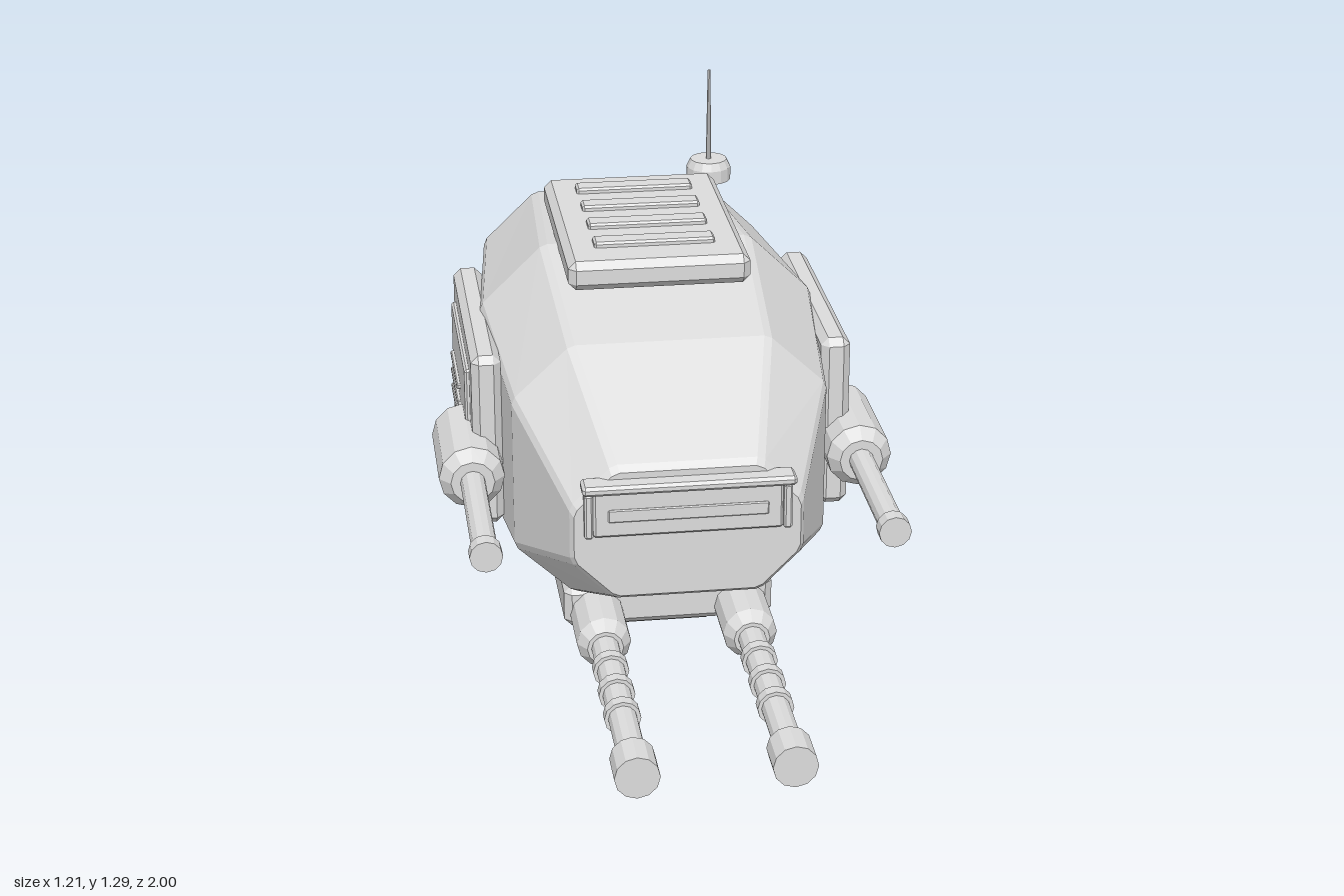
import * as THREE from 'three';
import { ConvexGeometry } from 'three/addons/geometries/ConvexGeometry.js';

const grey = new THREE.MeshStandardMaterial({ color: 0xdcdcdc, flatShading: true });
grey.name = 'hull light grey';

function add(parent, name, geometry, x = 0, y = 0, z = 0) {
  const mesh = new THREE.Mesh(geometry, grey);
  mesh.name = name;
  mesh.position.set(x, y, z);
  parent.add(mesh);
  return mesh;
}

// Box with every edge cut at 45 degrees, given by its limits
function block(parent, name, [x0, x1], [y0, y1], [z0, z1], bevel = 0.015) {
  const w = (x1 - x0) / 2, h = (y1 - y0) / 2, d = (z1 - z0) / 2;
  const b = Math.min(bevel, w * 0.6, h * 0.6, d * 0.6);
  const points = [];
  for (const sx of [-1, 1]) for (const sy of [-1, 1]) for (const sz of [-1, 1]) {
    points.push(new THREE.Vector3(sx * w, sy * (h - b), sz * (d - b)));
    points.push(new THREE.Vector3(sx * (w - b), sy * h, sz * (d - b)));
    points.push(new THREE.Vector3(sx * (w - b), sy * (h - b), sz * d));
  }
  return add(parent, name, new ConvexGeometry(points), (x0 + x1) / 2, (y0 + y1) / 2, (z0 + z1) / 2);
}

// Turned part along z; profile holds [radius, z] from back to front
function turned(parent, name, profile, x, y, sides = 12) {
  const pts = [[0, profile[0][1]], ...profile, [0, profile[profile.length - 1][1]]];
  const geometry = new THREE.LatheGeometry(pts.map(([r, z]) => new THREE.Vector2(r, z)), sides);
  geometry.rotateX(Math.PI / 2);
  return add(parent, name, geometry, x, y, 0);
}

// Octagonal section with slightly blunted corners, counter-clockwise from the front
function section({ z, w, top, bottom, cx, cy }) {
  const corners = [
    [w, bottom + cy], [w, top - cy], [w - cx, top], [cx - w, top],
    [-w, top - cy], [-w, bottom + cy], [cx - w, bottom], [w - cx, bottom],
  ];
  const blunt = 0.012, ring = [];
  corners.forEach((c, i) => {
    for (const n of [corners[(i + 7) % 8], corners[(i + 1) % 8]]) {
      const t = blunt / Math.hypot(n[0] - c[0], n[1] - c[1]);
      ring.push([c[0] + (n[0] - c[0]) * t, c[1] + (n[1] - c[1]) * t, z]);
    }
  });
  return ring;
}

function hullGeometry() {
  const rings = [
    { z: 0.495, w: 0.29, top: 0.655, bottom: 0.31, cx: 0.105, cy: 0.105 },
    { z: 0.48, w: 0.3, top: 0.672, bottom: 0.298, cx: 0.11, cy: 0.11 },
    { z: 0.16, w: 0.414, top: 0.867, bottom: 0.157, cx: 0.155, cy: 0.145 },
    { z: -0.32, w: 0.457, top: 0.967, bottom: 0.098, cx: 0.175, cy: 0.17 },
    { z: -0.91, w: 0.4, top: 0.908, bottom: 0.14, cx: 0.15, cy: 0.145 },
    { z: -0.925, w: 0.388, top: 0.896, bottom: 0.152, cx: 0.145, cy: 0.14 },
  ].map(section);
  const n = 16, last = rings.length - 1, positions = [];
  for (let i = 0; i < last; i++) for (let j = 0; j < n; j++) {
    const k = (j + 1) % n;
    const a = rings[i][j], b = rings[i][k], c = rings[i + 1][k], d = rings[i + 1][j];
    positions.push(...a, ...d, ...b, ...b, ...d, ...c);
  }
  for (let j = 1; j < n - 1; j++) {
    positions.push(...rings[0][0], ...rings[0][j], ...rings[0][j + 1]);
    positions.push(...rings[last][0], ...rings[last][j + 1], ...rings[last][j]);
  }
  const geometry = new THREE.BufferGeometry();
  geometry.setAttribute('position', new THREE.Float32BufferAttribute(positions, 3));
  geometry.computeVertexNormals();
  return geometry;
}

export function createModel() {
  const model = new THREE.Group();
  model.name = 'turretPod';

  // Hull and round rear collar
  add(model, 'hull', hullGeometry());
  turned(model, 'rearCollar', [[0.35, -1], [0.385, -0.92], [0.385, -0.9]], 0, 0.525, 16);

  // Roof hatch with four slats
  const hatch = new THREE.Group();
  hatch.name = 'roofHatch';
  model.add(hatch);
  block(hatch, 'hatchPlate', [-0.242, 0.242], [0.94, 1.02], [-0.706, -0.02], 0.02);
  for (const z of [-0.588, -0.445, -0.303, -0.16]) {
    block(hatch, 'hatchSlat', [-0.162, 0.162], [1.005, 1.035], [z - 0.029, z + 0.029], 0.006);
  }

  // Antenna
  const base = [[0, 0.97], [0.063, 0.97], [0.063, 1.008], [0.052, 1.03], [0, 1.03]];
  add(model, 'antennaBase', new THREE.LatheGeometry(base.map(([r, y]) => new THREE.Vector2(r, y)), 14), 0.242, 0, -0.787);
  add(model, 'antennaRod', new THREE.CylinderGeometry(0.004, 0.008, 0.28, 8), 0.242, 1.153, -0.787);

  // Front visor
  const visor = new THREE.Group();
  visor.name = 'visor';
  model.add(visor);
  block(visor, 'visorPanel', [-0.242, 0.242], [0.483, 0.61], [0.44, 0.508], 0.006);
  block(visor, 'visorSlit', [-0.205, 0.205], [0.525, 0.56], [0.49, 0.512], 0.003);
  block(visor, 'visorLip', [-0.272, 0.272], [0.612, 0.638], [0.472, 0.54], 0.008);
  for (const s of [-1, 1]) {
    block(visor, 'visorPost', [s * 0.254 - 0.011, s * 0.254 + 0.011], [0.483, 0.605], [0.44, 0.515], 0.005);
  }

  // Belly mount
  block(model, 'bellyMount', [-0.282, 0.282], [0.038, 0.157], [-0.375, 0.148], 0.02);
  block(model, 'bellyPlate', [-0.122, 0.122], [0.015, 0.07], [-0.25, 0.1], 0.012);

  // Side panels and guns, mirrored
  for (const s of [-1, 1]) {
    const span = (a, b) => (s > 0 ? [a, b] : [-b, -a]);
    const panel = new THREE.Group();
    panel.name = s > 0 ? 'leftSidePanel' : 'rightSidePanel';
    model.add(panel);
    block(panel, 'panelPlate', span(0.428, 0.507), [0.3, 0.785], [-0.662, 0.022], 0.02);
    block(panel, 'panelInset', span(0.48, 0.52), [0.375, 0.715], [-0.57, -0.068], 0.006);
    for (const y of [0.49, 0.54, 0.588]) {
      block(panel, 'panelSlat', span(0.51, 0.53), [y - 0.007, y + 0.007], [-0.5, -0.255], 0.003);
    }

    const sideGun = new THREE.Group();
    sideGun.name = s > 0 ? 'leftSideGun' : 'rightSideGun';
    model.add(sideGun);
    turned(sideGun, 'gunBody', [[0.058, -0.215], [0.087, -0.18], [0.087, 0.105], [0.058, 0.14]], s * 0.518, 0.484);
    turned(sideGun, 'gunBarrel', [[0.033, 0.12], [0.033, 0.55]], s * 0.518, 0.484);
    turned(sideGun, 'gunMuzzle', [[0.042, 0.535], [0.042, 0.577]], s * 0.518, 0.484);

    const lowerGun = new THREE.Group();
    lowerGun.name = s > 0 ? 'leftLowerGun' : 'rightLowerGun';
    model.add(lowerGun);
    turned(lowerGun, 'gunBody', [[0.048, -0.23], [0.072, -0.2], [0.072, 0.305], [0.048, 0.34]], s * 0.195, 0.076);
    turned(lowerGun, 'gunBarrel', [[0.037, 0.32], [0.037, 0.92]], s * 0.195, 0.076);
    for (const z of [0.45, 0.575, 0.695]) {
      turned(lowerGun, 'barrelRing', [[0.047, z - 0.016], [0.047, z + 0.016]], s * 0.195, 0.076);
    }
    turned(lowerGun, 'gunMuzzle', [[0.057, 0.9], [0.057, 1]], s * 0.195, 0.076);
  }
  return model;
}
